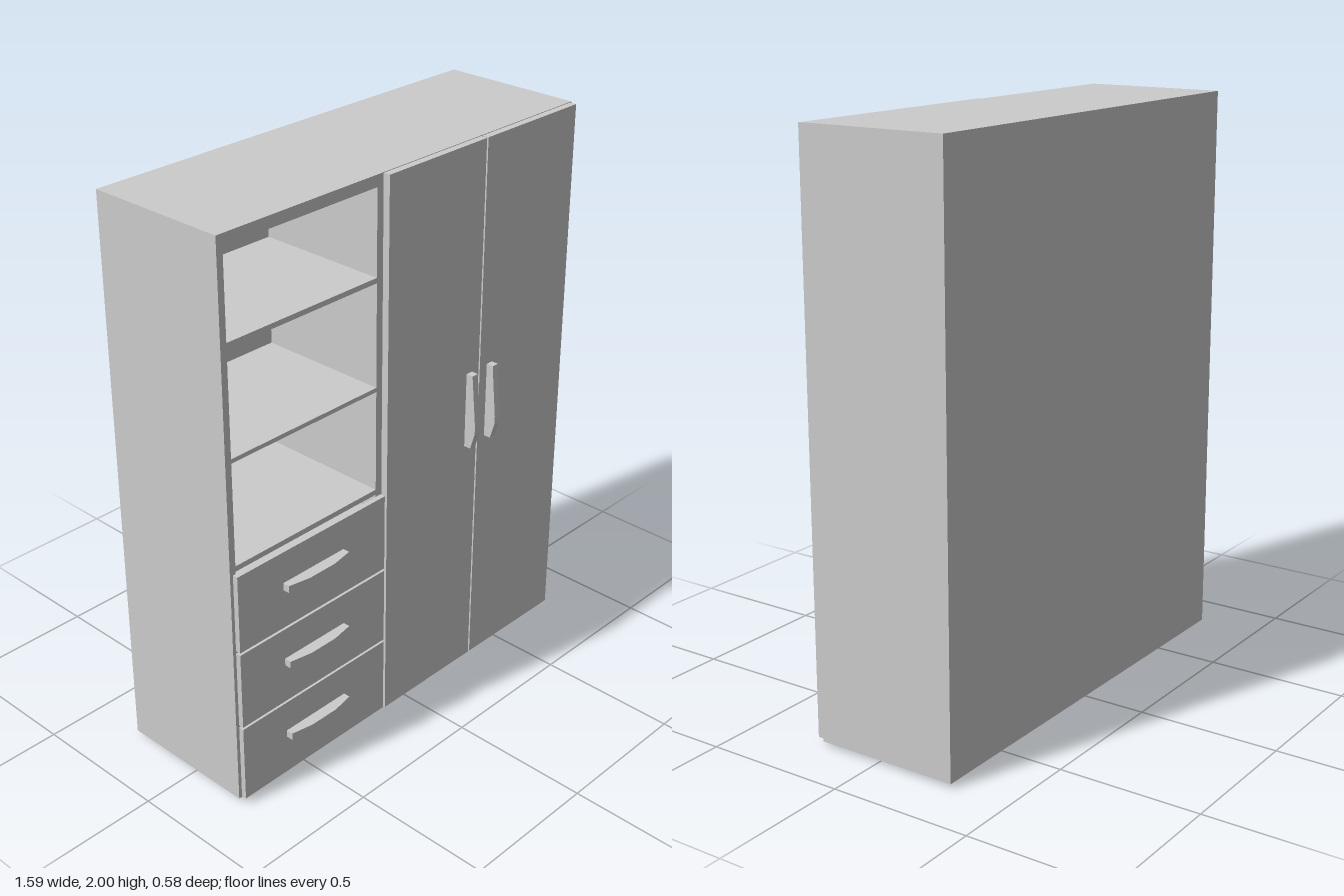
import * as THREE from 'three';

const material = new THREE.MeshStandardMaterial({ color: 0xcccccc, flatShading: true });

export function createModel() {
  const model = new THREE.Group();
  model.name = 'wardrobe';

  const add = (name, geometry) => {
    const mesh = new THREE.Mesh(geometry, material);
    mesh.name = name;
    model.add(mesh);
    return mesh;
  };
  // Box given by its limits on each axis
  const box = (name, x0, x1, y0, y1, z0, z1) => {
    const mesh = add(name, new THREE.BoxGeometry(x1 - x0, y1 - y0, z1 - z0));
    mesh.position.set((x0 + x1) / 2, (y0 + y1) / 2, (z0 + z1) / 2);
    return mesh;
  };

  const W = 0.797, back = -0.292, front = 0.221, bottom = 0.015, top = 2;
  const inL = -0.773, inR = -0.147, divR = -0.122, backIn = -0.255;

  // Carcass panels
  box('rightSidePanel', -W, inL, bottom, top, back, front);
  box('leftSidePanel', W - 0.025, W, bottom, top, back, front);
  box('divider', inR, divR, 0.04, 1.96, backIn, front);
  box('topPanel', inL, W - 0.025, 1.96, top, back, front);
  box('bottomPanel', inL, W - 0.025, bottom, 0.04, back, front);
  box('backPanel', inL, W - 0.025, 0.04, 1.96, back, backIn);

  // Open shelves; the lowest one covers the drawers
  for (const [y0, y1] of [[0.893, 0.912], [1.272, 1.287], [1.648, 1.666]]) {
    box('shelf', inL, inR, y0, y1, backIn, front);
  }

  // Doors
  box('doorInner', -0.12, 0.331, 0.021, 1.998, front, 0.246);
  box('doorOuter', 0.338, 0.79, 0.021, 1.998, front, 0.246);

  // Solid handle: side profile (along, out) extruded to its width
  const handle = (points, width) => {
    const shape = new THREE.Shape(points.map(([a, b]) => new THREE.Vector2(a, b)));
    const g = new THREE.ExtrudeGeometry(shape, { depth: width, bevelEnabled: false });
    return g.translate(0, 0, -width / 2);
  };

  // Drawers with horizontal handles
  const drawerGrip = [[-0.136, 0], [0.136, 0], [0.136, 0.026], [0.055, 0.041], [-0.055, 0.041], [-0.136, 0.026]];
  for (let i = 0; i < 3; i++) {
    const y = 0.026 + i * 0.291;
    box('drawerFront', -0.79, -0.13, y, y + 0.282, 0.227, 0.246);
    box('drawerBox', -0.755, -0.185, y + 0.025, y + 0.255, -0.2, 0.228);
    const h = add('drawerHandle', handle(drawerGrip, 0.026));
    h.rotation.x = Math.PI / 2;
    h.position.set(-0.462, y + 0.156, 0.245);
  }

  // Upright door handles, thickest near the lower end
  const doorGrip = [[0, 0.915], [0.027, 0.915], [0.045, 0.975], [0.045, 1.005], [0.027, 1.19], [0, 1.19]];
  for (const x of [0.283, 0.388]) {
    const h = add('doorHandle', handle(doorGrip, 0.027));
    h.rotation.y = -Math.PI / 2;
    h.position.set(x, 0, 0.245);
  }

  // Feet
  for (const x of [-0.008, 0.677]) {
    for (const z of [-0.203, 0.148]) {
      box('foot', x - 0.053, x + 0.053, 0, bottom, z - 0.058, z + 0.058);
    }
  }
  return model;
}
